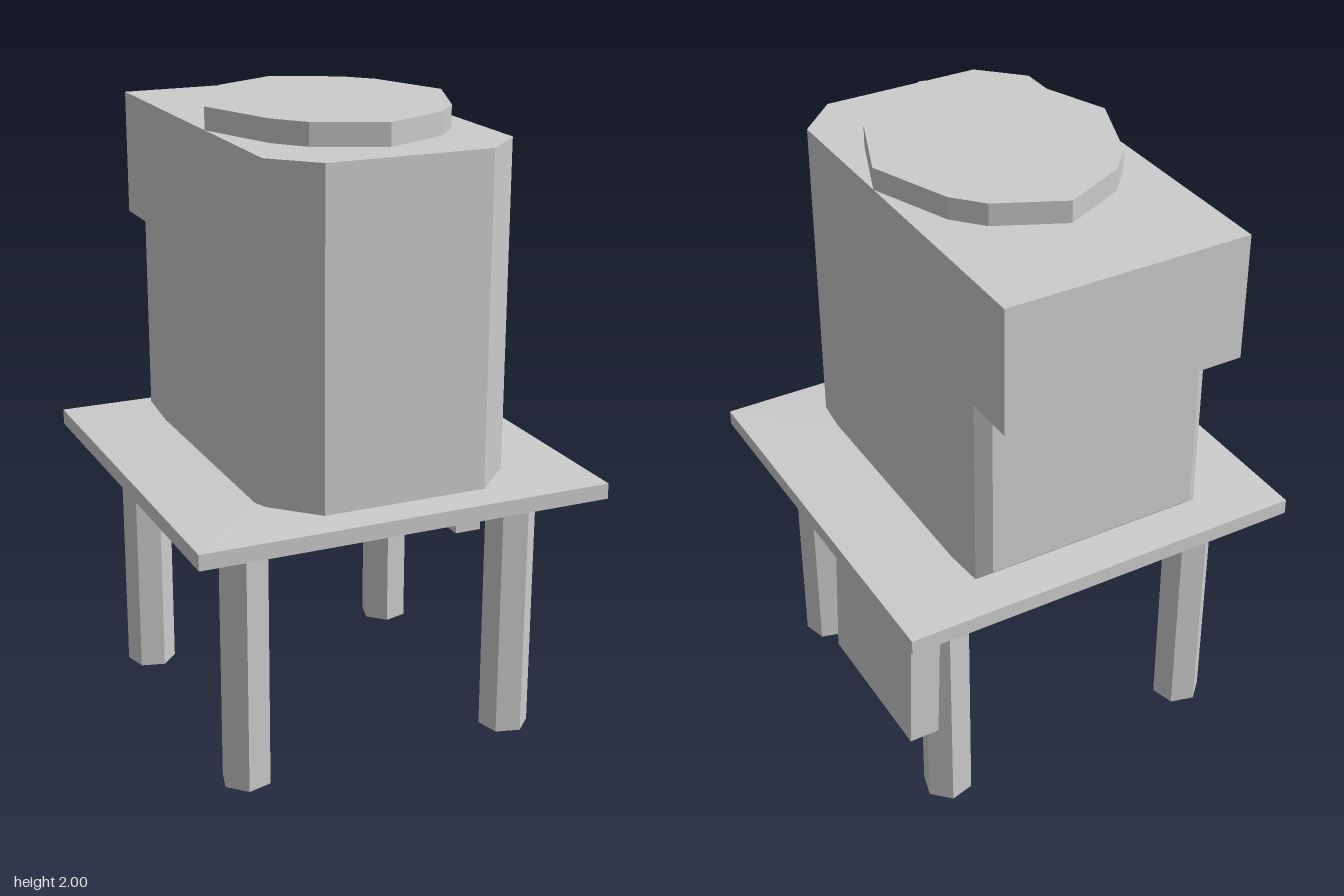
import * as THREE from 'three';

const material = new THREE.MeshStandardMaterial({ color: 0xcccccc, flatShading: true });

// Stacks convex outlines ([x, z] points, counterclockwise from above) at rising heights.
function loft(name, layers) {
  const pos = [];
  const rings = layers.map(([y, pts]) => pts.map(([x, z]) => [x, y, z]));
  const tri = (a, b, c) => pos.push(...a, ...b, ...c);
  const n = rings[0].length;
  for (let r = 0; r < rings.length - 1; r++) {
    const a = rings[r], b = rings[r + 1];
    for (let i = 0; i < n; i++) {
      const j = (i + 1) % n;
      tri(a[i], a[j], b[j]);
      tri(a[i], b[j], b[i]);
    }
  }
  const bottom = rings[0], top = rings[rings.length - 1];
  for (let i = 1; i < n - 1; i++) {
    tri(bottom[0], bottom[i + 1], bottom[i]);
    tri(top[0], top[i], top[i + 1]);
  }
  const geometry = new THREE.BufferGeometry();
  geometry.setAttribute('position', new THREE.Float32BufferAttribute(pos, 3));
  geometry.computeVertexNormals();
  const mesh = new THREE.Mesh(geometry, material);
  mesh.name = name;
  return mesh;
}

const rect = (x0, x1, z0, z1) => [[x0, z1], [x1, z1], [x1, z0], [x0, z0]];

// Completes a right half outline (front to back) with its mirror image.
const mirrored = (half) => [...half, ...half.filter(([x]) => x > 0).reverse().map(([x, z]) => [-x, z])];

export function createModel() {
  const model = new THREE.Group();

  // Table top, slightly raised towards the middle
  const slab = rect(-0.665, 0.665, -0.64, 0.69);
  model.add(loft('tableTop', [[0.825, slab], [0.875, slab], [0.887, rect(-0.36, 0.36, -0.36, 0.4)]]));

  // Four six-sided legs, mirrored in x and z
  for (const sx of [1, -1]) {
    for (const sz of [1, -1]) {
      const outline = [];
      for (let i = 0; i < 6; i++) {
        const a = THREE.MathUtils.degToRad(15 + 60 * i);
        outline.push([sx * (0.449 + 0.08 * Math.cos(a)), (sz > 0 ? 0.475 : -0.423) + sz * 0.08 * Math.sin(a)]);
      }
      if (sx * sz > 0) outline.reverse();
      model.add(loft(sz > 0 ? 'frontLeg' : 'backLeg', [[0, outline], [0.83, outline]]));
    }
  }

  // Leaning plate hanging under the left edge
  model.add(loft('sidePlate', [
    [0.425, rect(0.56, 0.655, -0.585, -0.08)],
    [0.83, rect(0.545, 0.64, -0.585, -0.08)],
  ]));

  // Body with chamfered front corners, a bevelled back and a sloping underside
  const outline = mirrored([[0.26, 0.64], [0.39, 0.51], [0.39, -0.52], [0.35, -0.555]]);
  model.add(loft('body', [
    [0.885, mirrored([[0.26, 0.42], [0.39, 0.42], [0.39, -0.37], [0.35, -0.37]])],
    [0.905, mirrored([[0.26, 0.64], [0.39, 0.51], [0.39, -0.52], [0.35, -0.52]])],
    [0.94, outline],
    [1.93, outline],
  ]));

  // Overhang at the upper back
  const over = rect(-0.39, 0.39, -0.69, -0.52);
  model.add(loft('backOverhang', [[1.53, over], [1.93, over]]));

  // Faceted oval lid
  const oval = mirrored([[0, 0.51], [0.21, 0.415], [0.29, 0.32], [0.39, 0.06], [0.29, -0.2], [0.21, -0.29], [0, -0.39]]);
  model.add(loft('lid', [[1.925, oval], [2, oval]]));

  return model;
}
